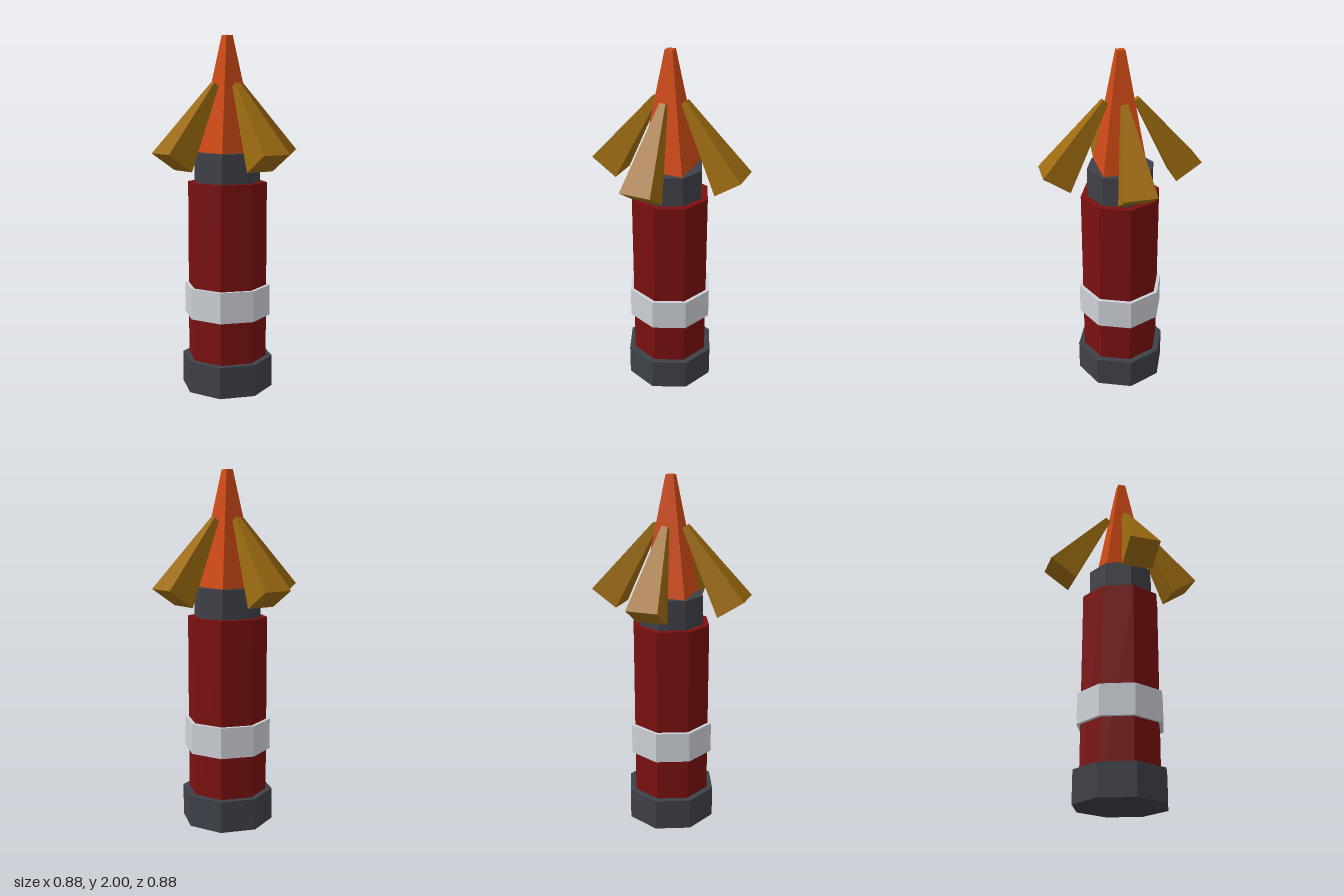
import * as THREE from 'three';

const material = (color) => new THREE.MeshStandardMaterial({ color, flatShading: true });

export function createModel() {
  const model = new THREE.Group();
  model.name = 'flare';

  const dark = material(0x3e4148);
  const red = material(0x7a1010);
  const silver = material(0xcdd1d7);
  const orange = material(0xd04a16);
  const amber = material(0x9c6a10);

  // Eight-sided prism between two heights
  const prism = (name, radius, bottom, top, mat) => {
    const mesh = new THREE.Mesh(new THREE.CylinderGeometry(radius, radius, top - bottom, 8), mat);
    mesh.name = name;
    mesh.position.y = (bottom + top) / 2;
    model.add(mesh);
  };

  // Square tapered block, given half widths at its top and bottom
  const taper = (name, halfTop, halfBottom, height, mat) => {
    const geometry = new THREE.CylinderGeometry(halfTop * Math.SQRT2, halfBottom * Math.SQRT2, height, 4);
    geometry.rotateY(Math.PI / 4);
    const mesh = new THREE.Mesh(geometry, mat);
    mesh.name = name;
    return mesh;
  };

  // Stick
  prism('base', 0.262, 0, 0.18, dark);
  prism('body', 0.226, 0.01, 1.19, red);
  prism('band', 0.247, 0.425, 0.6, silver);
  prism('collar', 0.188, 1.18, 1.355, dark);

  // Central flame
  const flame = taper('centralFlame', 0.022, 0.124, 0.645, orange);
  flame.position.y = 1.6775;
  model.add(flame);

  // Four outer flames leaning in toward the centre
  for (let i = 0; i < 4; i++) {
    const arm = new THREE.Group();
    arm.name = 'outerFlame' + (i + 1);
    const mesh = taper('flameTongue', 0.0175, 0.087, 0.506, amber);
    mesh.position.set(0.2265, 1.522, 0);
    mesh.rotation.z = 0.595;
    arm.add(mesh);
    arm.rotation.y = (i * Math.PI) / 2;
    model.add(arm);
  }

  return model;
}
